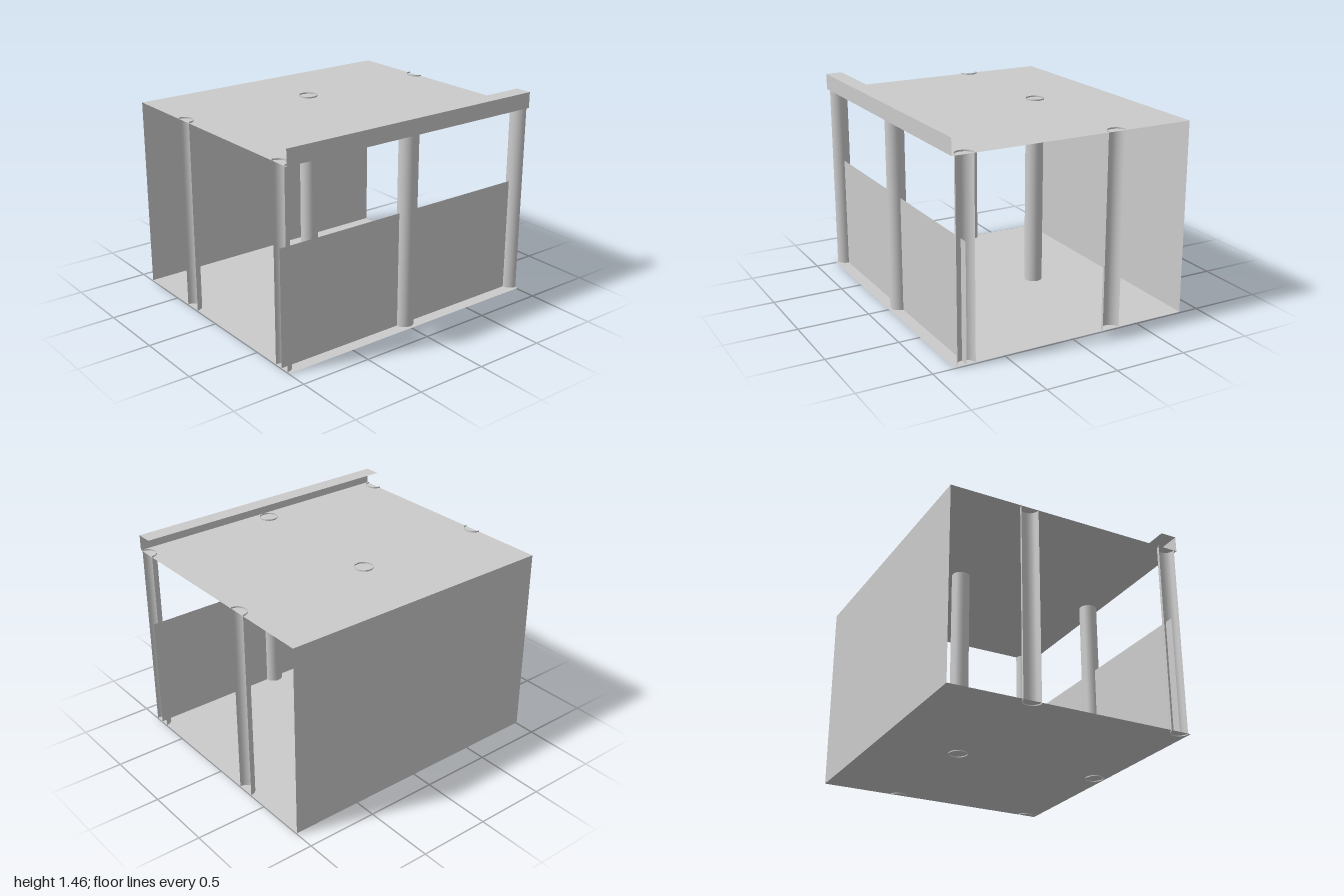
import * as THREE from 'three';

export function createModel() {
  const group = new THREE.Group();
  const sheetMat = new THREE.MeshStandardMaterial({ color: 0xcccccc, side: THREE.DoubleSide });
  const floorY = 0.007, ceilingY = 1.345, columnTop = 1.355;
  const sideX = 0.855, columnX = 0.77, radius = 0.063;

  function add(name, geometry, x, y, z) {
    const mesh = new THREE.Mesh(geometry, sheetMat);
    mesh.name = name;
    mesh.position.set(x, y, z);
    group.add(mesh);
    return mesh;
  }

  // Thin horizontal sheet between x0 and x1, running the full depth
  function slab(name, x0, x1, y) {
    add(name, new THREE.PlaneGeometry(x1 - x0, 2).rotateX(-Math.PI / 2), (x0 + x1) / 2, y, 0);
  }

  // Thin upright sheet facing sideways (dir = +1 or -1), running the full depth
  function wall(name, x, y0, y1, dir) {
    add(name, new THREE.PlaneGeometry(2, y1 - y0).rotateY(dir * Math.PI / 2), x, (y0 + y1) / 2, 0);
  }

  slab('floor', -sideX, sideX, floorY);
  slab('ceiling', -sideX, sideX, ceilingY);
  wall('solidSideWall', -sideX, floorY, ceilingY, -1);
  wall('halfHeightWall', columnX, floorY, 0.81, 1);

  // Raised roof edge: upright fascia with a lip turned inwards
  wall('roofFascia', sideX, ceilingY, 1.455, 1);
  slab('roofLip', 0.74, sideX, 1.455);

  // Columns: round in the middle, open half shells at the two open ends
  for (const x of [-0.293, columnX]) {
    for (const z of [-1, 0, 1]) {
      const start = z > 0 ? Math.PI / 2 : -Math.PI / 2;
      const sweep = z === 0 ? Math.PI * 2 : Math.PI;
      const shell = new THREE.CylinderGeometry(radius, radius, columnTop, z === 0 ? 32 : 16, 1, true, start, sweep);
      add(z === 0 ? 'column' : 'halfColumn', shell, x, columnTop / 2, z);
    }
  }
  return group;
}
